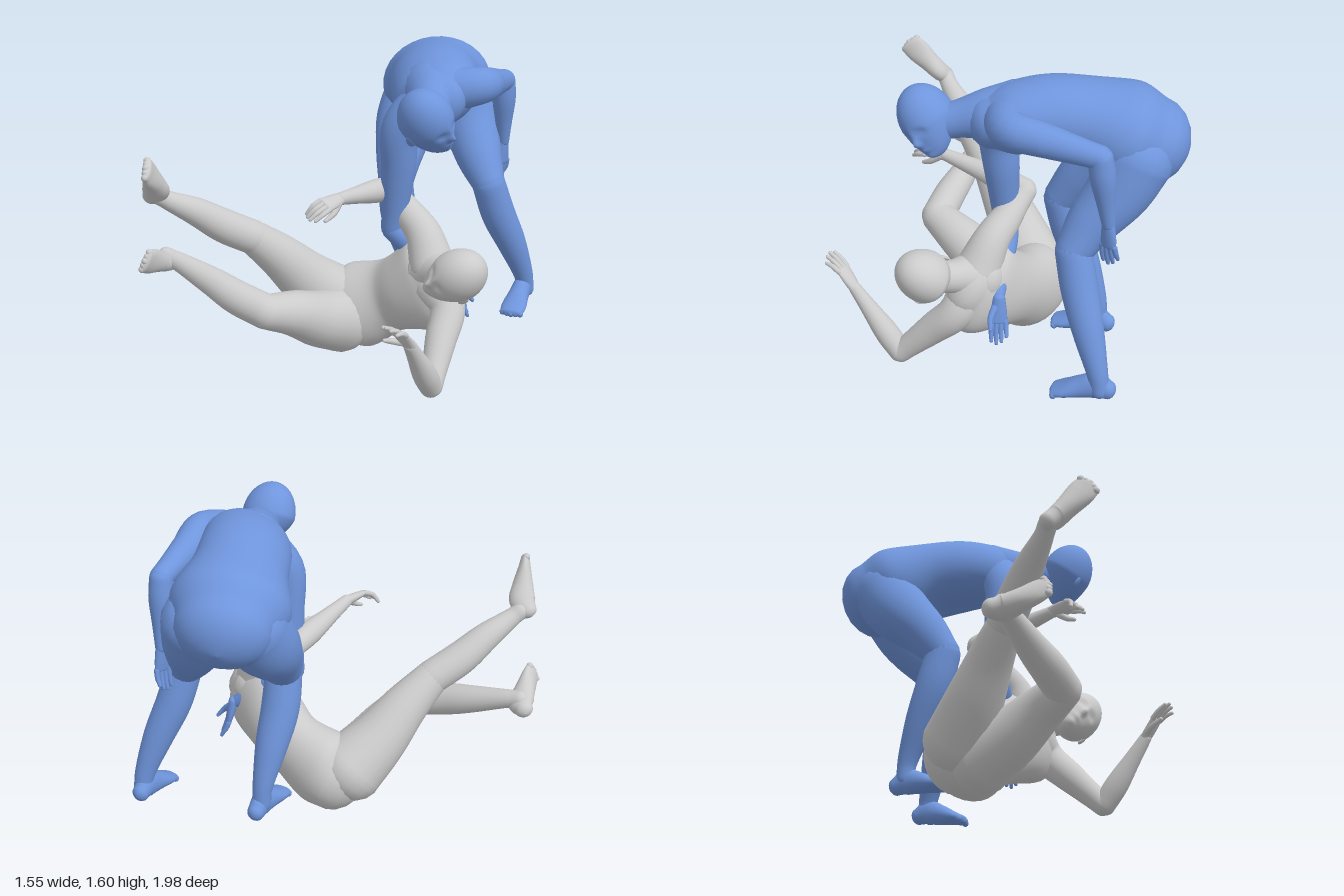
import * as THREE from 'three';

const V = (p) => new THREE.Vector3(...p);
const mats = {
  grey: new THREE.MeshStandardMaterial({ color: 0xcccccc }),
  blue: new THREE.MeshStandardMaterial({ color: 0x6f95dc }),
};

// Rounded-end loft through sections [x, y, z, halfWidth, halfDepth]; side gives the width direction
function loft(sections, side0 = [1, 0, 0], side1 = side0, radial = 20, steps = 6) {
  const path = new THREE.CatmullRomCurve3(sections.map((s) => V(s.slice(0, 3))));
  const size = new THREE.CatmullRomCurve3(
    sections.map((s) => new THREE.Vector3(s[3], s[4] ?? s[3], 0)), false, 'catmullrom', 0.5);
  const n = (sections.length - 1) * steps;
  const rings = [];
  const add = (t, shrink, shift) => {
    const T = path.getTangent(t);
    const r = size.getPoint(t);
    const s = V(side0).lerp(V(side1), t);
    s.addScaledVector(T, -s.dot(T)).normalize();
    const o = T.clone().cross(s);
    const c = path.getPoint(t).addScaledVector(T, shift * Math.min(r.x, r.y) * 0.85);
    rings.push({ c, s, o, a: r.x * shrink, b: r.y * shrink });
  };
  const cap = 5;
  for (let i = cap; i > 0; i--) {
    const q = (i / cap) * Math.PI * 0.497;
    add(0, Math.cos(q), -Math.sin(q));
  }
  for (let i = 0; i <= n; i++) add(i / n, 1, 0);
  for (let i = 1; i <= cap; i++) {
    const q = (i / cap) * Math.PI * 0.497;
    add(1, Math.cos(q), Math.sin(q));
  }
  const pos = [], idx = [];
  rings.forEach(({ c, s, o, a, b }, i) => {
    for (let j = 0; j < radial; j++) {
      const q = (j / radial) * Math.PI * 2;
      const p = c.clone().addScaledVector(s, a * Math.cos(q)).addScaledVector(o, b * Math.sin(q));
      pos.push(p.x, p.y, p.z);
      if (i === rings.length - 1) continue;
      const k = i * radial + j, k1 = i * radial + ((j + 1) % radial);
      idx.push(k, k1, k + radial, k1, k1 + radial, k + radial);
    }
  });
  const g = new THREE.BufferGeometry();
  g.setAttribute('position', new THREE.Float32BufferAttribute(pos, 3));
  g.setIndex(idx);
  g.computeVertexNormals();
  return g;
}

function part(group, name, geometry, mat) {
  const m = new THREE.Mesh(geometry, mat);
  m.name = name;
  group.add(m);
  return m;
}

// Head: a sphere shaped into cranium, jaw and face, turned to the given up and face directions
function head(group, mat, center, up, face) {
  const h = new THREE.Group();
  h.name = 'head';
  const g = new THREE.SphereGeometry(1, 64, 48);
  const p = g.attributes.position;
  const bump = (x, y, cx, cy, wx, wy) => Math.exp(-(((x - cx) / wx) ** 2) - ((y - cy) / wy) ** 2);
  for (let i = 0; i < p.count; i++) {
    const x = p.getX(i), y = p.getY(i), z = p.getZ(i);
    const low = Math.max(0, -y), ax = Math.abs(x), front = z > 0;
    let zz = front ? z * (1 - 0.1 * low) + 0.34 * low * low : z * (1 - 0.5 * low) + 0.34 * low * low;
    if (front) {
      zz += 0.2 * bump(x, y, 0, -0.33, 0.13, 0.12) + 0.07 * bump(x, y, 0, -0.14, 0.1, 0.2);
      zz += 0.07 * bump(x, y, 0, -0.6, 0.25, 0.07) + 0.08 * bump(x, y, 0, -0.85, 0.25, 0.12);
      zz -= 0.12 * bump(ax, y, 0.36, -0.06, 0.17, 0.1);
      zz += 0.05 * bump(ax, y, 0.35, -0.06, 0.1, 0.05);
    }
    p.setXYZ(i, x * (1 - 0.2 * low) * 0.126, y * 0.17, zz * 0.138);
  }
  g.computeVertexNormals();
  part(h, 'skull', g, mat);
  for (const sx of [-1, 1]) {
    const ear = part(h, 'ear', new THREE.SphereGeometry(1, 16, 12), mat);
    ear.scale.set(0.01, 0.034, 0.022);
    ear.position.set(sx * 0.12, -0.03, -0.01);
    ear.rotation.y = sx * -0.35;
  }
  const u = V(up).normalize(), f = V(face);
  f.addScaledVector(u, -f.dot(u)).normalize();
  h.quaternion.setFromRotationMatrix(new THREE.Matrix4().makeBasis(u.clone().cross(f), u, f));
  h.position.set(...center);
  group.add(h);
}

// Hand: palm, four curled fingers and a thumb; across points to the thumb side
function hand(group, mat, name, wrist, dir, across, palm, curl) {
  const h = new THREE.Group();
  h.name = name;
  const d = V(dir).normalize(), a = V(across), w = V(wrist);
  a.addScaledVector(d, -a.dot(d)).normalize();
  const n = d.clone().cross(a);
  if (n.dot(V(palm)) < 0) n.negate();
  const at = (l, s, k) => w.clone().addScaledVector(d, l).addScaledVector(a, s).addScaledVector(n, k).toArray();
  const side = a.toArray();
  part(h, 'palm', loft([[...at(-0.02, 0, 0), 0.03, 0.026], [...at(0.05, 0, 0), 0.04, 0.022],
    [...at(0.1, 0, 0), 0.043, 0.017]], side, side, 14, 4), mat);
  for (let i = 0; i < 4; i++) {
    const s = 0.033 - i * 0.022, l = [0.1, 0.115, 0.105, 0.08][i], k = curl * (0.7 + i * 0.15);
    part(h, 'finger', loft([[...at(0.1, s, 0), 0.014], [...at(0.1 + l * 0.5, s * 1.1, k * 0.02), 0.0125],
      [...at(0.1 + l * (1 - 0.2 * k), s * 1.1, k * 0.055), 0.009]], side, side, 8, 4), mat);
  }
  part(h, 'thumb', loft([[...at(0.025, 0.02, 0.005), 0.02], [...at(0.07, 0.045, 0.03), 0.015],
    [...at(0.12, 0.05, 0.055), 0.01]], n.toArray(), n.toArray(), 8, 4), mat);
  group.add(h);
}

// Arm: upper arm rooted in the chest at C, rounding the shoulder S, then forearm from elbow E to wrist W
function arm(group, mat, name, C, S, E, W, r) {
  const mix = (A, B, t) => A.map((v, i) => v + (B[i] - v) * t);
  const side = [0.6, 0.3, 0.75];
  part(group, name + 'UpperArm', loft([[...C, r * 1.3], [...S, r], [...mix(S, E, 0.4), r * 0.86],
    [...mix(S, E, 0.8), r * 0.68], [...E, r * 0.62]], side), mat);
  part(group, name + 'Forearm', loft([[...E, r * 0.62], [...mix(E, W, 0.3), r * 0.66], [...mix(E, W, 0.7), r * 0.47],
    [...W, r * 0.34]], side), mat);
}

// Leg: eight sections, the fourth being the knee
function leg(group, mat, name, s, side) {
  part(group, name + 'Thigh', loft(s.slice(0, 4), side), mat);
  part(group, name + 'Calf', loft(s.slice(3), side), mat);
}

// Foot: sole runs from heel to toe, instep lies on the up side
function foot(group, mat, name, heel, toe, up) {
  const f = new THREE.Group();
  f.name = name;
  const H = V(heel), d = V(toe).sub(H), u = V(up);
  const dn = d.clone().normalize();
  u.addScaledVector(dn, -u.dot(dn)).normalize();
  const side = u.clone().cross(dn);
  const sec = (t, a, b) => [...H.clone().addScaledVector(d, t).addScaledVector(u, b).toArray(), a, b];
  part(f, 'sole', loft([sec(0.12, 0.042, 0.046), sec(0.28, 0.048, 0.066), sec(0.5, 0.054, 0.054),
    sec(0.75, 0.066, 0.034), sec(0.9, 0.06, 0.023)], side.toArray()), mat);
  for (let i = 0; i < 5; i++) {
    const toeMesh = part(f, 'toe', new THREE.SphereGeometry(0.018, 12, 8), mat);
    toeMesh.position.copy(H).addScaledVector(d, 0.92 - Math.abs(i - 2) * 0.015)
      .addScaledVector(side, (i - 2) * 0.023).addScaledVector(u, 0.018);
  }
  group.add(f);
}

export function createModel() {
  const model = new THREE.Group();

  // Standing figure, bent forward
  const b = new THREE.Group(), B = mats.blue;
  b.name = 'bendingFigure';
  part(b, 'torso', loft([[-0.15, 1.28, -0.79, 0.23, 0.2], [-0.075, 1.325, -0.69, 0.28, 0.235],
    [0.04, 1.39, -0.54, 0.23, 0.195], [0.15, 1.415, -0.41, 0.22, 0.18], [0.27, 1.4, -0.29, 0.21, 0.165],
    [0.33, 1.39, -0.22, 0.15, 0.13]], [0.73, 0, -0.68], [0.62, 0.46, -0.64], 32), B);
  part(b, 'neck', loft([[0.24, 1.42, -0.29, 0.15], [0.33, 1.41, -0.19, 0.12], [0.4, 1.39, -0.1, 0.09],
    [0.46, 1.365, -0.02, 0.08]]), B);
  head(b, B, [0.485, 1.385, 0.025], [0.2, 0.84, 0.5], [0.93, -0.18, -0.12]);
  arm(b, B, 'left', [0.31, 1.43, -0.3], [0.44, 1.455, -0.42], [0.285, 1.38, -0.8], [0.26, 1.04, -0.84], 0.09);
  arm(b, B, 'right', [0.26, 1.38, -0.25], [0.18, 1.25, -0.145], [0.125, 0.71, -0.15], [0.38, 0.48, -0.3], 0.1);
  hand(b, B, 'leftHand', [0.26, 1.03, -0.84], [0, -1, -0.03], [0, 0, 1], [-1, 0, 0], 0.4);
  hand(b, B, 'rightHand', [0.395, 0.465, -0.32], [0.2, -0.95, -0.14], [0.7, 0, 0.6], [0.6, 0, -0.7], 0.3);
  leg(b, B, 'right', [[-0.18, 1.26, -0.67, 0.175], [-0.165, 1.12, -0.56, 0.16], [-0.1, 0.98, -0.435, 0.122],
    [-0.05, 0.86, -0.355, 0.09], [-0.07, 0.68, -0.4, 0.094], [-0.085, 0.5, -0.475, 0.08],
    [-0.1, 0.3, -0.55, 0.05], [-0.1, 0.21, -0.56, 0.047]]);
  leg(b, B, 'left', [[0.01, 1.26, -0.805, 0.175], [0.09, 1.12, -0.775, 0.152], [0.21, 0.97, -0.71, 0.118],
    [0.3, 0.86, -0.68, 0.086], [0.325, 0.68, -0.74, 0.088], [0.36, 0.5, -0.82, 0.075],
    [0.385, 0.3, -0.9, 0.05], [0.385, 0.22, -0.915, 0.047]]);
  foot(b, B, 'rightFoot', [-0.13, 0.14, -0.65], [0, 0.13, -0.33], [0, 1, 0]);
  foot(b, B, 'leftFoot', [0.345, 0.18, -0.99], [0.47, 0.145, -0.68], [0, 1, 0]);

  // Falling figure, legs raised
  const g = new THREE.Group(), G = mats.grey;
  g.name = 'fallingFigure';
  const lat = [-0.6, 0.8, -0.1];
  part(g, 'torso', loft([[-0.16, 0.2, -0.11, 0.19, 0.18], [-0.08, 0.235, -0.14, 0.225, 0.18],
    [0.08, 0.32, -0.185, 0.19, 0.145], [0.22, 0.395, -0.185, 0.21, 0.15], [0.355, 0.475, -0.18, 0.245, 0.135],
    [0.43, 0.53, -0.17, 0.16, 0.11]], lat, lat, 32), G);
  part(g, 'neck', loft([[0.36, 0.54, -0.18, 0.13], [0.43, 0.565, -0.15, 0.105], [0.51, 0.585, -0.115, 0.08],
    [0.59, 0.61, -0.08, 0.078]]), G);
  head(g, G, [0.625, 0.622, -0.06], [0.75, 0.6, 0.1], [-0.3, 0, 0.95]);
  arm(g, G, 'right', [0.37, 0.57, -0.17], [0.29, 0.715, -0.19], [0.05, 0.89, -0.21], [0.13, 0.965, 0.23], 0.09);
  arm(g, G, 'left', [0.41, 0.47, -0.16], [0.5, 0.385, -0.14], [0.63, 0.1, 0.12], [0.695, 0.42, 0.35], 0.09);
  hand(g, G, 'rightHand', [0.13, 0.965, 0.24], [0.08, -0.02, 1], [0.85, -0.5, 0], [-0.5, -0.85, 0], 1.1);
  hand(g, G, 'leftHand', [0.695, 0.425, 0.355], [0.03, 0.75, 0.65], [-1, 0, 0.2], [0, -0.65, 0.75], 0.6);
  leg(g, G, 'right', [[-0.21, 0.25, -0.07, 0.178], [-0.265, 0.38, 0.07, 0.147], [-0.31, 0.54, 0.22, 0.115],
    [-0.355, 0.67, 0.36, 0.087], [-0.42, 0.755, 0.5, 0.085], [-0.47, 0.85, 0.63, 0.07],
    [-0.52, 0.93, 0.76, 0.047], [-0.54, 0.96, 0.8, 0.045]]);
  leg(g, G, 'left', [[-0.125, 0.175, -0.02, 0.175], [-0.105, 0.24, 0.16, 0.145], [-0.095, 0.33, 0.34, 0.115],
    [-0.11, 0.385, 0.505, 0.088], [-0.27, 0.43, 0.555, 0.085], [-0.42, 0.48, 0.585, 0.072],
    [-0.63, 0.55, 0.64, 0.047], [-0.69, 0.565, 0.66, 0.045]], [0, 1, 0]);
  foot(g, G, 'rightFoot', [-0.62, 0.935, 0.84], [-0.42, 1.185, 0.98], [0.16, -0.25, -0.44]);
  foot(g, G, 'leftFoot', [-0.795, 0.54, 0.625], [-0.6, 0.63, 0.885], [0.54, -0.17, -0.16]);

  model.add(b, g);
  return model;
}
